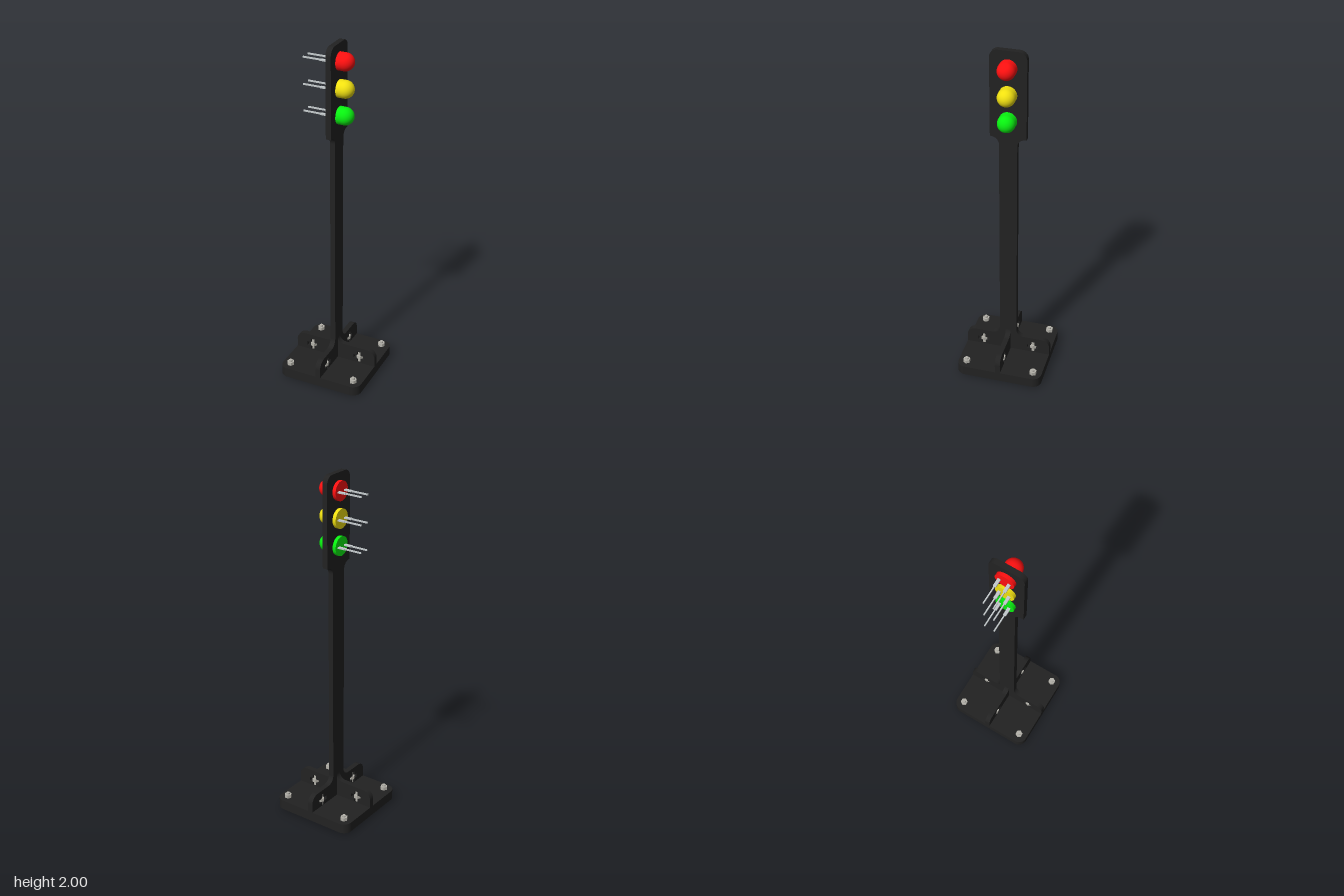
import * as THREE from 'three';

const mat = (color, extra = {}) => new THREE.MeshStandardMaterial({ color, ...extra });
const T = 0.03; // plate thickness
const BASE_BOTTOM = 0.012, BASE_TOP = 0.07;

function add(parent, name, geometry, material, x = 0, y = 0, z = 0) {
  const mesh = new THREE.Mesh(geometry, material);
  mesh.name = name;
  mesh.position.set(x, y, z);
  parent.add(mesh);
  return mesh;
}

function circleHole(x, y, r) {
  return new THREE.Path().absarc(x, y, r, 0, Math.PI * 2, true);
}

// Cross-shaped slot that holds a captive nut
function crossSlot(cx) {
  const pts = [[-0.011, 0.07], [0.011, 0.07], [0.011, 0.094], [0.034, 0.094], [0.034, 0.118], [0.011, 0.118],
    [0.011, 0.142], [-0.011, 0.142], [-0.011, 0.118], [-0.034, 0.118], [-0.034, 0.094], [-0.011, 0.094]];
  return new THREE.Path(pts.map(([x, y]) => new THREE.Vector2(cx + x, Math.max(y, BASE_TOP + 0.002))).reverse());
}

// Right half of the foot: rounded shoulder, then a fillet up to a post of half width w
function footRight(s, w, r) {
  s.moveTo(-0.25, BASE_TOP);
  s.lineTo(0.25, BASE_TOP);
  s.lineTo(0.25, 0.12);
  s.absarc(0.2, 0.12, 0.05, 0, Math.PI / 2, false);
  s.lineTo(w + r, 0.17);
  s.absarc(w + r, 0.17 + r, r, -Math.PI / 2, -Math.PI, true);
}

function footLeft(s, w, r) {
  s.lineTo(-w, 0.17 + r);
  s.absarc(-w - r, 0.17 + r, r, 0, -Math.PI / 2, true);
  s.lineTo(-0.2, 0.17);
  s.absarc(-0.2, 0.12, 0.05, Math.PI / 2, Math.PI, false);
  s.lineTo(-0.25, BASE_TOP);
}

function plateGeometry(shape, depth = T) {
  return new THREE.ExtrudeGeometry(shape, { depth, bevelEnabled: false, curveSegments: 16 })
    .translate(0, 0, -depth / 2);
}

// Tall plate: foot, post and lamp head in one outline
function mastGeometry() {
  const s = new THREE.Shape(), w = 0.05, f = 0.045;
  footRight(s, w, f);
  s.lineTo(w, 1.455);
  s.absarc(w + f, 1.455, f, Math.PI, Math.PI / 2, true);
  s.lineTo(0.1, 1.5);
  s.lineTo(0.1, 1.955);
  s.absarc(0.055, 1.955, 0.045, 0, Math.PI / 2, false);
  s.lineTo(-0.055, 2);
  s.absarc(-0.055, 1.955, 0.045, Math.PI / 2, Math.PI, false);
  s.lineTo(-0.1, 1.5);
  s.lineTo(-w - f, 1.5);
  s.absarc(-w - f, 1.455, f, Math.PI / 2, 0, true);
  footLeft(s, w, f);
  s.holes.push(crossSlot(-0.15), crossSlot(0.15));
  return plateGeometry(s).rotateY(Math.PI / 2);
}

// Low plate crossing the mast
function braceGeometry() {
  const s = new THREE.Shape();
  footRight(s, T / 2, 0.04);
  footLeft(s, T / 2, 0.04);
  s.holes.push(crossSlot(-0.15), crossSlot(0.15));
  return plateGeometry(s);
}

// Rounded square base with screw holes
function baseGeometry() {
  const s = new THREE.Shape(), c = 0.2, r = 0.05;
  s.moveTo(0.25, -c);
  [[c, c], [-c, c], [-c, -c], [c, -c]].forEach(([x, y], i) =>
    s.absarc(x, y, r, i * Math.PI / 2, (i + 1) * Math.PI / 2, false));
  for (const [x, y] of [[0.15, 0], [-0.15, 0], [0, 0.15], [0, -0.15]]) s.holes.push(circleHole(x, y, 0.012));
  s.holes.push(circleHole(0, 0, 0.005));
  const depth = BASE_TOP - BASE_BOTTOM;
  return plateGeometry(s, depth).rotateX(-Math.PI / 2).translate(0, (BASE_TOP + BASE_BOTTOM) / 2, 0);
}

function makeLamp(color, metal) {
  const lamp = new THREE.Group();
  const lens = mat(color);
  const r = 0.049;
  // Domed body lies along +x
  const profile = [new THREE.Vector2(r, -0.02)];
  for (let i = 0; i <= 14; i++) {
    const a = i / 14 * Math.PI / 2;
    profile.push(new THREE.Vector2(Math.max(0, r * Math.cos(a)), 0.05 + r * Math.sin(a)));
  }
  add(lamp, 'lampDome', new THREE.LatheGeometry(profile, 40), lens).rotation.z = -Math.PI / 2;
  add(lamp, 'lampFlange', new THREE.CylinderGeometry(0.054, 0.054, 0.02, 40), lens, -0.025).rotation.z = -Math.PI / 2;
  for (const z of [-0.028, 0.027]) {
    add(lamp, 'leadShoulder', new THREE.BoxGeometry(0.045, 0.008, 0.017), metal, -0.0575, 0, z);
    add(lamp, 'leadWire', new THREE.BoxGeometry(0.1, 0.008, 0.007), metal, -0.13, 0, z);
  }
  return lamp;
}

// Hexagonal nut on a vertical screw, points along x
function makeFastener(metal, nutY, nutH, bottom, top) {
  const g = new THREE.Group();
  const nut = new THREE.CylinderGeometry(0.021, 0.021, nutH, 6).rotateY(Math.PI / 6);
  add(g, 'nut', nut, metal, 0, nutY, 0);
  add(g, 'screwShaft', new THREE.CylinderGeometry(0.01, 0.01, top - bottom, 20), metal, 0, (top + bottom) / 2, 0);
  return g;
}

export function createModel() {
  const model = new THREE.Group();
  model.name = 'trafficLight';
  const black = mat(0x222222);
  const steel = mat(0xb4b2aa, { flatShading: true });
  const leadMetal = mat(0xc4cacc);

  add(model, 'base', baseGeometry(), black);
  add(model, 'mast', mastGeometry(), black);
  add(model, 'brace', braceGeometry(), black);

  // Lamps, top to bottom
  [['red', 0xff1010, 1.905], ['yellow', 0xf0e010, 1.755], ['green', 0x08f010, 1.605]].forEach(([name, color, y]) => {
    const lamp = makeLamp(color, leadMetal);
    lamp.name = name + 'Lamp';
    lamp.position.y = y;
    model.add(lamp);
  });

  // Corner screws with heads under the base
  for (const x of [-0.2, 0.2]) for (const z of [-0.2, 0.2]) {
    const f = makeFastener(steel, 0.08, 0.02, 0.005, 0.1);
    f.name = 'cornerScrew';
    f.position.set(x, 0, z);
    add(f, 'screwHead', new THREE.CylinderGeometry(0.018, 0.016, BASE_BOTTOM, 20), steel, 0, BASE_BOTTOM / 2, 0);
    model.add(f);
  }

  // Captive screws and nuts in the plate slots
  for (const [x, z] of [[0.15, 0], [-0.15, 0], [0, 0.15], [0, -0.15]]) {
    const f = makeFastener(steel, 0.106, 0.02, 0.02, 0.135);
    f.name = 'plateScrew';
    f.position.set(x, 0, z);
    model.add(f);
  }
  return model;
}
